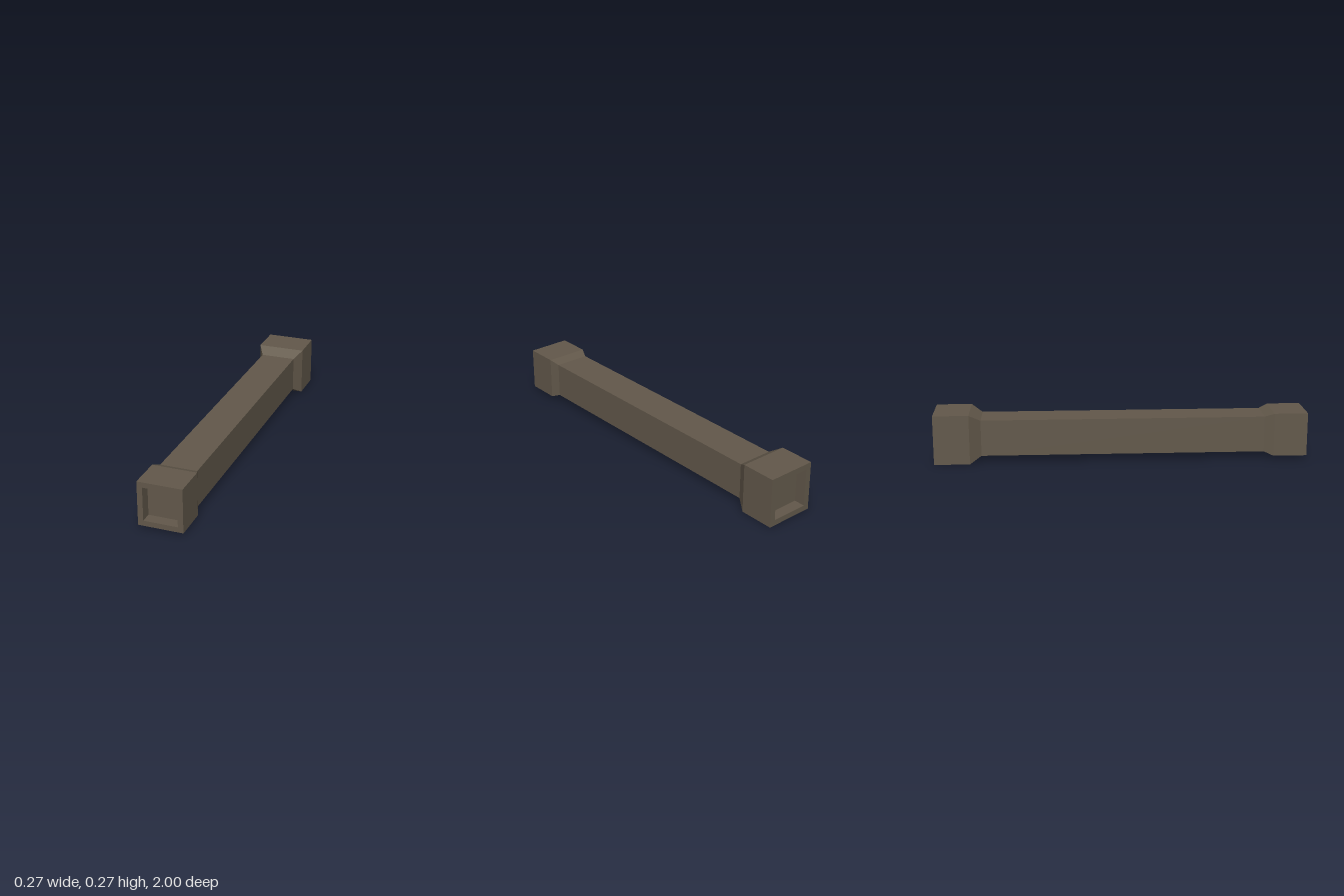
import * as THREE from 'three';

const CENTRE_Y = 0.133;

// Square tube section along z from [half width, z] pairs, running back to front
function squareSection(name, profile, material) {
  const points = profile.map(([half, z]) => new THREE.Vector2(half * Math.SQRT2, z));
  const lathe = new THREE.LatheGeometry(points, 4, Math.PI / 4);
  lathe.rotateX(Math.PI / 2);
  const geometry = lathe.toNonIndexed();
  geometry.computeVertexNormals(); // crisp flat faces
  const mesh = new THREE.Mesh(geometry, material);
  mesh.name = name;
  mesh.position.y = CENTRE_Y;
  return mesh;
}

export function createModel() {
  const group = new THREE.Group();
  group.name = 'squareBeam';

  const metal = new THREE.MeshStandardMaterial({ color: 0x62584a });
  metal.name = 'dark bronze';

  // Wide rear collar: recessed floor, recess walls, rim, sides, taper
  group.add(squareSection('rearCollar', [
    [0, -0.94], [0.102, -0.94], [0.102, -1], [0.133, -1], [0.133, -0.81], [0.097, -0.75],
  ], metal));

  // Long straight shaft
  group.add(squareSection('shaft', [[0.097, -0.75], [0.097, 0.77]], metal));

  // Narrower front collar: taper, sides, rim, recess walls, recessed floor
  group.add(squareSection('frontCollar', [
    [0.097, 0.77], [0.117, 0.82], [0.117, 1], [0.089, 1], [0.089, 0.94], [0, 0.94],
  ], metal));

  return group;
}
